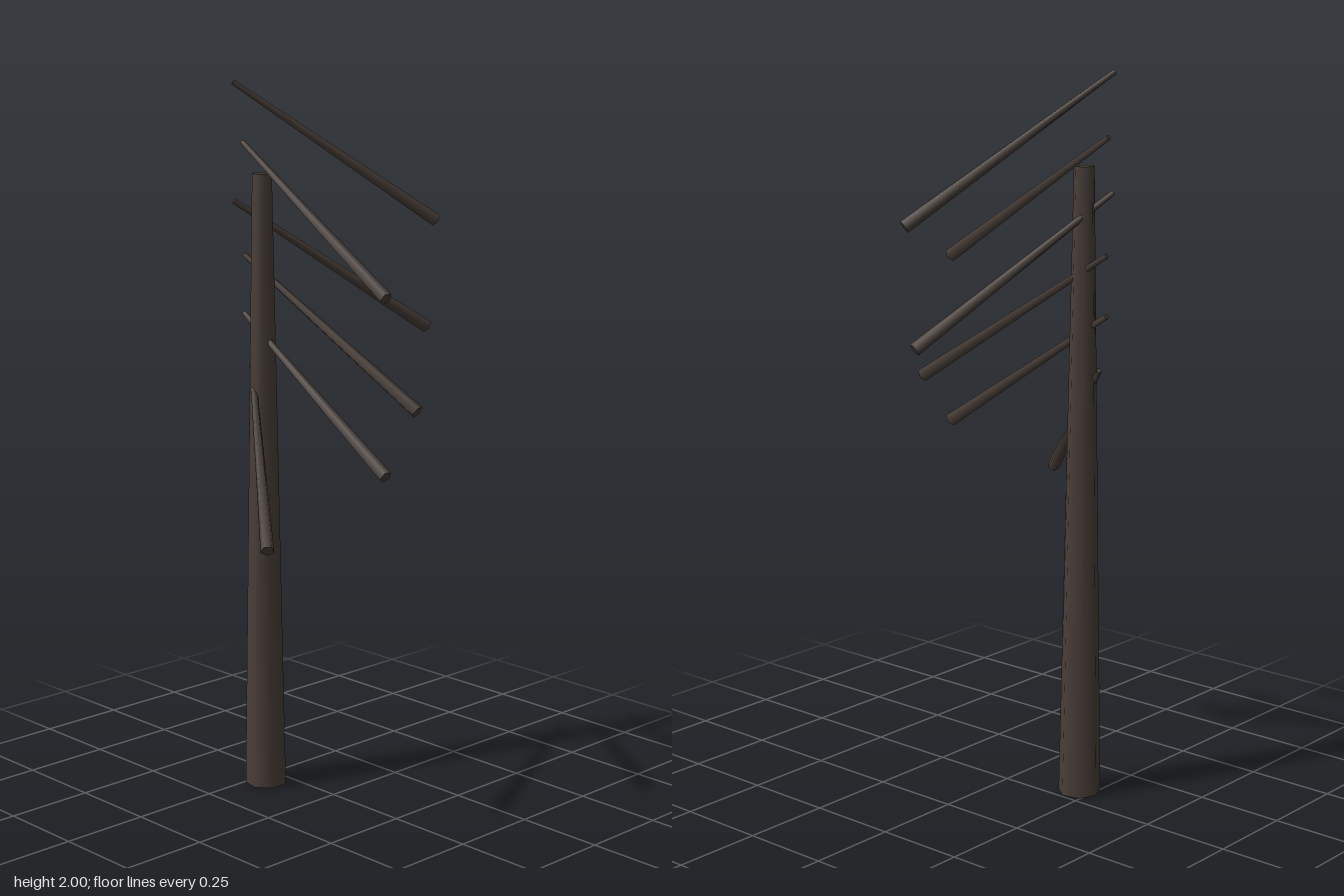
import * as THREE from 'three';

const bark = new THREE.MeshStandardMaterial({ color: 0x4a3f39 });
bark.name = 'dark bark';

// Tapered limb from its thick butt to its thin tip, with one flat side facing up
function limb(name, butt, tip, buttRadius, tipRadius, sides) {
  const a = new THREE.Vector3(...butt);
  const b = new THREE.Vector3(...tip);
  const dir = b.clone().sub(a);
  const geometry = new THREE.CylinderGeometry(tipRadius, buttRadius, dir.length(), sides);
  const mesh = new THREE.Mesh(geometry, bark);
  mesh.name = name;

  // Local y runs along the limb, local -z points as far upward as possible
  const y = dir.normalize();
  const x = new THREE.Vector3().crossVectors(new THREE.Vector3(0, 1, 0), y).normalize();
  const z = new THREE.Vector3().crossVectors(x, y);
  mesh.quaternion.setFromRotationMatrix(new THREE.Matrix4().makeBasis(x, y, z));
  mesh.position.copy(a).add(b).multiplyScalar(0.5);
  return mesh;
}

export function createModel() {
  const group = new THREE.Group();
  group.name = 'deadTree';

  // Seven-sided trunk with a flat side to the front
  const trunk = new THREE.Mesh(new THREE.CylinderGeometry(0.028, 0.06, 1.75, 7), bark);
  trunk.name = 'trunk';
  trunk.rotation.y = Math.PI;
  trunk.position.set(-0.066, 0.875, -0.21);
  group.add(trunk);

  // Drooping branches: outer butt, then thin tip behind the trunk
  const branches = [
    [[0.358, 1.61, 0.042], [-0.118, 1.995, -0.268]],
    [[0.388, 1.3, -0.019], [-0.13, 1.677, -0.257]],
    [[-0.09, 1.463, 0.288], [-0.066, 1.83, -0.292]],
    [[0.047, 1.143, 0.272], [-0.064, 1.52, -0.29]],
    [[-0.088, 0.99, 0.288], [-0.066, 1.358, -0.29]],
    [[-0.388, 0.82, 0.156], [-0.041, 1.215, -0.286]],
  ];
  branches.forEach(([butt, tip], i) => {
    group.add(limb(`branch${i + 1}`, butt, tip, 0.019, 0.0075, 5));
  });

  return group;
}
